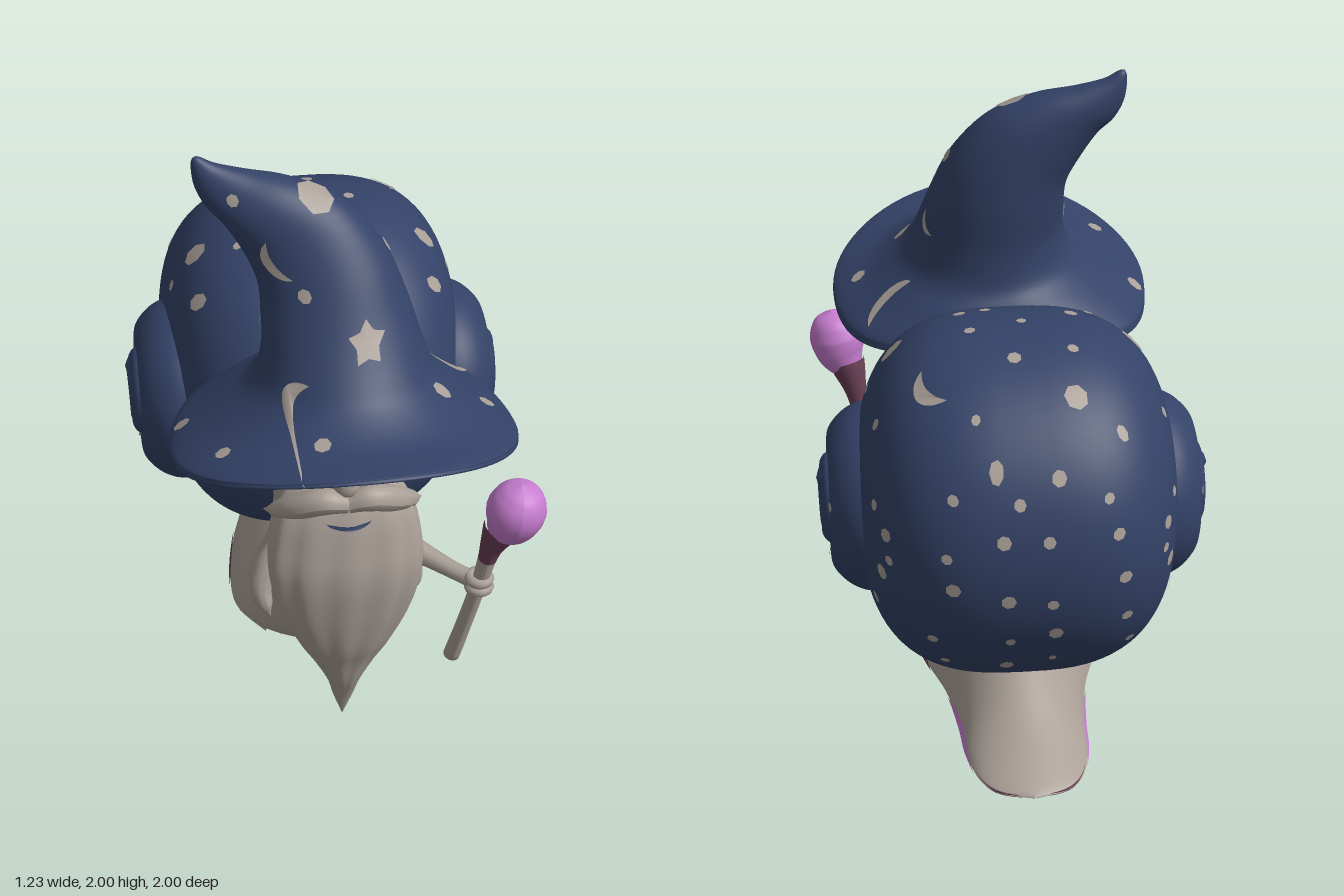
import * as THREE from 'three';
import { mergeVertices } from 'three/addons/utils/BufferGeometryUtils.js';

const mat = (name, color) => Object.assign(new THREE.MeshStandardMaterial({ color }), { name });
const V = (x, y, z) => new THREE.Vector3(x, y, z);

// Smooth interpolation through a list of key rows, t in 0..1
function sample(keys, t) {
  const f = t * (keys.length - 1), i = Math.min(Math.floor(f), keys.length - 2), u = f - i;
  const k = (n) => keys[Math.max(0, Math.min(keys.length - 1, n))];
  return keys[0].map((_, c) => {
    const [a, b, d, e] = [k(i - 1)[c], k(i)[c], k(i + 1)[c], k(i + 2)[c]];
    return b + 0.5 * u * (d - a + u * (2 * a - 5 * b + 4 * d - e + u * (3 * (b - d) + e - a)));
  });
}

// Grid surface from f(v, a) -> [x, y, z]; the outside faces dv x da
function surface(f, nv, na, a0 = 0, a1 = Math.PI * 2, v0 = 0, v1 = 1) {
  const pos = [], idx = [], w = na + 1;
  for (let i = 0; i <= nv; i++)
    for (let j = 0; j <= na; j++) pos.push(...f(v0 + (v1 - v0) * i / nv, a0 + (a1 - a0) * j / na));
  for (let i = 0; i < nv; i++)
    for (let j = 0; j < na; j++) {
      const p = i * w + j;
      idx.push(p, p + w, p + 1, p + w, p + w + 1, p + 1);
    }
  let g = new THREE.BufferGeometry();
  g.setAttribute('position', new THREE.Float32BufferAttribute(pos, 3));
  g.setIndex(idx);
  g = mergeVertices(g, 1e-5);
  g.computeVertexNormals();
  return g;
}

// Tapered tube along a smooth path of [x, y, z, radius]
function limb(pts, seg = 24, sides = 14) {
  const curve = new THREE.CatmullRomCurve3(pts.map((p) => V(p[0], p[1], p[2])));
  const g = new THREE.TubeGeometry(curve, seg, 1, sides), P = g.attributes.position, q = V();
  for (let i = 0; i < P.count; i++) {
    const t = Math.floor(i / (sides + 1)) / seg, c = curve.getPointAt(t);
    const r = Math.max(0.001, sample(pts.map((p) => [p[3]]), curve.getUtoTmapping(t))[0]);
    q.fromBufferAttribute(P, i).sub(c).multiplyScalar(r).add(c);
    P.setXYZ(i, q.x, q.y, q.z);
  }
  g.computeVertexNormals();
  return g;
}

// Flat outlines for the painted marks
const blob = () => new THREE.CircleGeometry(1, 7);
const ring = () => new THREE.RingGeometry(0.55, 1, 18);
function star() {
  const g = new THREE.CircleGeometry(1, 10), P = g.attributes.position;
  for (let i = 1; i < P.count; i++) if (i % 2) P.setXY(i, P.getX(i) * 0.6, P.getY(i) * 0.6);
  return g.rotateZ(-Math.PI / 10);
}
function crescent(turn) {
  const s = new THREE.Shape();
  s.absarc(0, 0, 1, -1.35, 1.35, false);
  s.quadraticCurveTo(0.85, 0, Math.cos(1.35), -Math.sin(1.35));
  return new THREE.ShapeGeometry(s, 12).translate(-0.5, 0, 0).rotateZ(turn);
}

// Directions of projection: u and v axes, and how two coordinates map to space
const sides = {
  front: [V(1, 0, 0), V(0, 1, 0), (p, q) => V(p, q, 0)],
  back: [V(-1, 0, 0), V(0, 1, 0), (p, q) => V(p, q, 0)],
  right: [V(0, 0, -1), V(0, 1, 0), (p, q) => V(0, q, p)],
  left: [V(0, 0, 1), V(0, 1, 0), (p, q) => V(0, q, p)],
  top: [V(1, 0, 0), V(0, 0, -1), (p, q) => V(p, 0, q)],
};
// Lays a flat outline on the surface of the targets, unless the surface turns away
function decal(targets, material, name, side, p, q, size, g = blob(), sy = 1) {
  const [U, W, at] = sides[side], N = U.clone().cross(W), o = at(p, q).addScaledVector(N, 3);
  const P = g.attributes.position, ray = new THREE.Raycaster();
  for (let i = 0; i < P.count; i++) {
    const from = o.clone().addScaledVector(U, P.getX(i) * size).addScaledVector(W, P.getY(i) * size * sy);
    ray.set(from, N.clone().negate());
    const hit = ray.intersectObjects(targets)[0];
    if (!hit || hit.face.normal.dot(N) < 0.1) return null;
    hit.point.addScaledVector(hit.face.normal, 0.005);
    P.setXYZ(i, hit.point.x, hit.point.y, hit.point.z);
  }
  g.computeVertexNormals();
  const m = new THREE.Mesh(g, material);
  m.name = name;
  return m;
}

export function createModel() {
  const root = new THREE.Group();
  const blue = mat('night blue', 0x334267), skin = mat('warm grey', 0xa99f97);
  const pink = mat('orchid', 0xc77dd0), dark = mat('dark plum', 0x694055);
  const add = (name, g, m) => {
    const mesh = new THREE.Mesh(g, m);
    mesh.name = name;
    root.add(mesh);
    return mesh;
  };
  const mark = (...a) => { const m = decal(...a); if (m) root.add(m); };

  // Shell: rounded drum about the x axis with a flared lip towards the neck
  const shell = add('shell', surface((v, t) => {
    const phi = Math.PI * (1 - v), c = Math.cos(phi), s = Math.abs(Math.sin(phi));
    const d = Math.atan2(Math.sin(t + 0.3), Math.cos(t + 0.3));
    const r = s ** 0.7 * (0.572 + 0.045 * Math.exp(-((d / 0.5) ** 2)));
    return [0.492 * Math.sign(c) * Math.abs(c) ** 0.7, 0.845 + r * Math.sin(t), -0.338 + r * Math.cos(t)];
  }, 48, 64), blue);

  // Raised whorl with a domed hub and a coil on each side
  const profile = new THREE.SplineCurve([[0.305, 0.3], [0.303, 0.44], [0.29, 0.495], [0.262, 0.538], [0.22, 0.572],
    [0.175, 0.58], [0.148, 0.572], [0.135, 0.592], [0.105, 0.605], [0.06, 0.59], [0.001, 0.575]].map((p) => new THREE.Vector2(...p))).getPoints(44);
  const whorls = [];
  for (const s of [1, -1]) {
    whorls.push(add('shellWhorl', new THREE.LatheGeometry(profile, 48).rotateZ(-s * Math.PI / 2).translate(0, 0.79, -0.238), blue));
    const coil = [];
    for (let i = 0; i <= 20; i++) {
      const t = i / 20, a = 2.2 - t * 7.5, r = 0.1 * (1 - t) + 0.012;
      coil.push([s * (0.582 - 0.005 * t), 0.77 + r * Math.sin(a), -0.25 + r * Math.cos(a), i % 20 ? 0.034 - 0.012 * t : 0.002]);
    }
    add('shellCoil', limb(coil, 90, 10), blue);
  }

  // Foot: arched sections from front to back [z, half width, height]
  const footKeys = [[0.28, 0.22, 0.32], [0.15, 0.3, 0.35], [0, 0.31, 0.35], [-0.2, 0.28, 0.31], [-0.4, 0.225, 0.25],
    [-0.6, 0.2, 0.175], [-0.75, 0.19, 0.105], [-0.89, 0.16, 0.052], [-0.965, 0.105, 0.022], [-1, 0.003, 0.004]];
  const foot = (v, a, grow = 0) => {
    const [z, w, h] = sample(footKeys, v), s = Math.sin(a);
    return [w * Math.cos(a) * (1 - 0.25 * s) + grow * Math.sign(Math.cos(a)), 0.137 + h * s, z];
  };
  add('foot', surface((v, a) => foot(v, a), 50, 32, 0, Math.PI), skin);

  // Painted edge of the foot, tapering at both ends
  const edging = (name, v0, v1, height, m) => {
    const taper = (v) => Math.sin(Math.PI * Math.min(1, Math.max(0, (v - v0) / (v1 - v0))));
    add(name, surface((v, a) => foot(v, a * taper(v), 0.004), 20, 3, 0, height, v0, v1), m);
    add(name, surface((v, a) => foot(v, Math.PI - (Math.PI - a) * taper(v), 0.004), 20, 3, Math.PI - height, Math.PI, v0, v1), m);
  };
  edging('footStain', 0.19, 0.37, 0.095, dark);
  edging('footGlow', 0.46, 0.74, 0.17, pink);

  // Sole
  const edge = [[0.14, 0.3], [0.24, 0.23], ...footKeys.slice(1, 9).map((k) => [k[1] * 0.98, k[0]])];
  const outline = new THREE.Shape().moveTo(0, 0.325);
  outline.splineThru([...edge, [0, -0.99], ...edge.slice().reverse().map(([x, z]) => [-x, z]), [0, 0.325]].map((p) => new THREE.Vector2(...p)));
  add('sole', new THREE.ExtrudeGeometry(outline, { depth: 0.008, bevelEnabled: false, curveSegments: 80 })
    .rotateX(Math.PI / 2).translate(0, 0.142, 0), dark);

  // Body and head: [y, half width, centre z, half depth]
  const upright = (keys, ripple = () => 1) => (v, a) => {
    const [y, rx, cz, rz] = sample(keys, v), k = ripple(a, v);
    return [rx * k * Math.cos(a), y, cz + rz * k * Math.sin(a)];
  };
  const bodyKeys = [[0.137, 0.305, 0.1, 0.22], [0.18, 0.3, 0.14, 0.25], [0.28, 0.265, 0.18, 0.265],
    [0.4, 0.235, 0.225, 0.245], [0.5, 0.22, 0.28, 0.21], [0.6, 0.215, 0.34, 0.185], [0.75, 0.205, 0.4, 0.165],
    [0.9, 0.2, 0.43, 0.168], [1.1, 0.195, 0.445, 0.178], [1.2, 0.185, 0.447, 0.174], [1.32, 0.15, 0.45, 0.14]];
  const body = add('body', surface(upright(bodyKeys), 60, 40), skin);
  for (const [a0, a1] of [[0.25, 1.35], [Math.PI - 1.35, Math.PI - 0.25]])
    add('bodyStain', surface(upright(bodyKeys, () => 1.012), 3, 12, a0, a1, 0, 0.045), dark);

  // Beard, moustache and nose
  const beard = add('beard', surface(upright([[0, 0.002, 0.55, 0.002], [0.1, 0.032, 0.565, 0.02], [0.2, 0.056, 0.587, 0.04],
    [0.3, 0.1, 0.6, 0.055], [0.4, 0.15, 0.612, 0.075], [0.55, 0.212, 0.62, 0.09], [0.7, 0.238, 0.617, 0.1],
    [0.82, 0.232, 0.59, 0.105], [0.92, 0.205, 0.565, 0.1], [0.99, 0.14, 0.54, 0.08], [1.02, 0.002, 0.53, 0.002]],
  (a, v) => 1 + 0.03 * Math.sin(11 * a + 5 * v) * Math.sin(Math.PI * v)), 60, 84), skin);
  for (const s of [1, -1])
    add('moustache', limb([[0, 0.965, 0.64, 0.03], [s * 0.07, 0.982, 0.64, 0.042], [s * 0.15, 0.945, 0.608, 0.04],
      [s * 0.21, 0.9, 0.56, 0.026], [s * 0.245, 0.88, 0.53, 0.002]]), skin);
  add('nose', limb([[0, 1.15, 0.6, 0.015], [0, 1.1, 0.605, 0.03], [0, 1.05, 0.61, 0.042], [0, 1.005, 0.615, 0.04], [0, 0.975, 0.61, 0.002]]), skin);

  // Eyes, brows and mouth
  for (const s of [1, -1]) {
    mark([body], blue, 'eyeRim', 'front', s * 0.1, 1.16, 0.037, ring());
    mark([body], blue, 'pupil', 'front', s * 0.1, 1.16, 0.013);
    mark([body], blue, 'brow', 'front', s * 0.108, 1.208, 0.064, crescent(Math.PI / 2));
  }
  mark([beard], blue, 'mouth', 'front', 0, 0.903, 0.07, crescent(-Math.PI / 2), 0.4);

  // Arms and hands
  add('leftArm', limb([[0.13, 0.6, 0.38, 0.04], [0.2, 0.59, 0.41, 0.05], [0.27, 0.578, 0.46, 0.036],
    [0.36, 0.565, 0.54, 0.028], [0.42, 0.56, 0.59, 0.03]]), skin);
  add('leftSleeve', limb([[0.2, 0.62, 0.38, 0.03], [0.235, 0.54, 0.41, 0.036], [0.245, 0.46, 0.44, 0.026], [0.225, 0.4, 0.45, 0.002]]), skin);
  add('rightArm', limb([[-0.15, 0.64, 0.39, 0.04], [-0.22, 0.57, 0.42, 0.04], [-0.25, 0.49, 0.45, 0.035],
    [-0.24, 0.43, 0.47, 0.025], [-0.225, 0.39, 0.48, 0.002]]), skin);
  for (const y of [0.542, 0.575])
    add('fingers', new THREE.TorusGeometry(0.03, 0.018, 10, 20).rotateX(Math.PI / 2).translate(0.428, y, 0.592), skin);

  // Staff
  add('staffShaft', limb([[0.36, 0.155, 0.503, 0.002], [0.363, 0.165, 0.506, 0.026], [0.395, 0.35, 0.55, 0.026],
    [0.43, 0.56, 0.593, 0.026], [0.45, 0.69, 0.612, 0.03]]), skin);
  add('staffSocket', limb([[0.447, 0.67, 0.61, 0.03], [0.46, 0.74, 0.622, 0.04], [0.485, 0.83, 0.645, 0.062]]), dark);
  const orb = [[0.476, 0.785, 0.64, 0.03], [0.485, 0.81, 0.645, 0.055], [0.505, 0.86, 0.66, 0.082], [0.517, 0.915, 0.672, 0.093],
    [0.525, 0.965, 0.675, 0.078], [0.528, 0.995, 0.677, 0.05], [0.53, 1.012, 0.678, 0.002]];
  add('staffOrb', limb(orb, 32, 24), pink);

  // Hat: underside, rim, brim and bent crown
  // [centre x, half width, centre z, half depth, height, side tilt, front lift, front and back lift]
  const hatKeys = [[0, 0.17, 0.45, 0.15, 1.26, 0, 0, 0], [0, 0.3, 0.48, 0.28, 1.215, 0, 0.035, 0.025],
    [0, 0.5, 0.555, 0.425, 1.135, 0, 0.11, 0.08], [0, 0.525, 0.557, 0.44, 1.15, 0, 0.115, 0.08],
    [0, 0.505, 0.55, 0.428, 1.175, 0, 0.1, 0.072], [0, 0.39, 0.5, 0.362, 1.24, 0, 0.06, 0.04],
    [0.01, 0.285, 0.465, 0.285, 1.325, 0, 0.045, 0.01], [0.01, 0.245, 0.435, 0.245, 1.42, 0, 0.02, 0],
    [-0.01, 0.22, 0.387, 0.206, 1.54, 0.02, 0, 0], [-0.045, 0.19, 0.345, 0.163, 1.66, 0.05, 0, 0],
    [-0.12, 0.15, 0.31, 0.122, 1.77, 0.075, 0, 0], [-0.22, 0.105, 0.29, 0.09, 1.85, 0.065, 0, 0],
    [-0.31, 0.065, 0.272, 0.06, 1.892, 0.053, 0, 0], [-0.372, 0.034, 0.262, 0.034, 1.937, 0.034, 0, 0],
    [-0.4, 0.014, 0.26, 0.016, 1.985, 0.012, 0, 0], [-0.405, 0.001, 0.26, 0.001, 2, 0, 0, 0]];
  const hat = add('hat', surface((v, a) => {
    const [cx, rx, cz, rz, y, tilt, lift, both] = sample(hatKeys, v), c = Math.cos(a), s = Math.sin(a);
    // the back of the brim is squarer than the front
    const square = s < 0 ? 1 - 6.5 * Math.max(0, both) : 1;
    return [cx + rx * Math.sign(c) * Math.abs(c) ** square, y + tilt * c + lift * s + both * s * s, cz + rz * s];
  }, 90, 72), blue);

  // Stars, moons and flecks on the hat
  const hatMark = (...a) => mark([hat], skin, 'hatMark', ...a);
  hatMark('front', 0.06, 1.53, 0.058, star());
  hatMark('front', -0.19, 1.72, 0.062, crescent(Math.PI * 1.2));
  hatMark('front', -0.16, 1.385, 0.062, crescent(Math.PI * 0.85));
  hatMark('front', -0.11, 1.645, 0.02);
  hatMark('front', -0.3, 1.89, 0.018);
  hatMark('right', 0.33, 1.47, 0.045, crescent(Math.PI * 1.2));
  hatMark('top', 0.355, 0.3, 0.08, crescent(-1.2));
  hatMark('top', -0.06, 0.33, 0.055);
  hatMark('left', 0.37, 1.5, 0.045, star());
  for (const [z, y, r] of [[0.34, 1.7, 0.022], [0.59, 1.33, 0.026]]) hatMark('right', z, y, r);
  hatMark('left', 0.3, 1.68, 0.02);
  for (const [x, z, r] of [[-0.48, 0.45, 0.025], [-0.38, 0.72, 0.024], [-0.1, 0.82, 0.026], [0.44, 0.51, 0.024]]) hatMark('top', x, z, r);

  // Flecks on the shell
  const shellMark = (...a) => mark([shell, ...whorls], skin, 'shellFleck', ...a);
  const onSide = [[-0.095, 1.23, 0.028], [-0.26, 1.3, 0.034], [-0.27, 1.18, 0.018], [-0.51, 1.18, 0.018], [-0.65, 0.985, 0.018],
    [-0.73, 0.925, 0.022], [-0.71, 0.79, 0.025], [-0.75, 0.85, 0.016], [-0.62, 0.65, 0.02], [-0.43, 0.86, 0.016],
    [-0.32, 0.65, 0.02], [-0.22, 0.64, 0.025]];
  for (const [z, y, r] of onSide) { shellMark('right', z, y, r); shellMark('left', z, y, r); }
  for (const [x, z, r] of [[-0.28, -0.71, 0.018], [-0.15, -0.65, 0.036], [0.1, -0.81, 0.022], [0.15, -0.7, 0.014],
    [0.02, -0.52, 0.022], [-0.16, -0.48, 0.018], [0.14, -0.37, 0.018], [-0.02, -0.33, 0.016], [-0.18, -0.25, 0.022],
    [0.08, -0.21, 0.018], [0.16, -0.22, 0.02], [-0.24, -0.19, 0.015], [0.18, 0, 0.02]]) shellMark('top', x, z, r);
  shellMark('top', 0.28, -0.57, 0.075, crescent(0.45));
  let seed = 7;
  const rnd = () => (seed = (seed * 16807) % 2147483647) / 2147483647;
  for (let i = 0; i < 4; i++)
    for (let j = 0; j < 5; j++)
      shellMark('back', -0.26 + i * 0.17 + (rnd() - 0.5) * 0.1, 0.5 + j * 0.15 + (rnd() - 0.5) * 0.1, 0.012 + rnd() * 0.012);

  return root;
}
